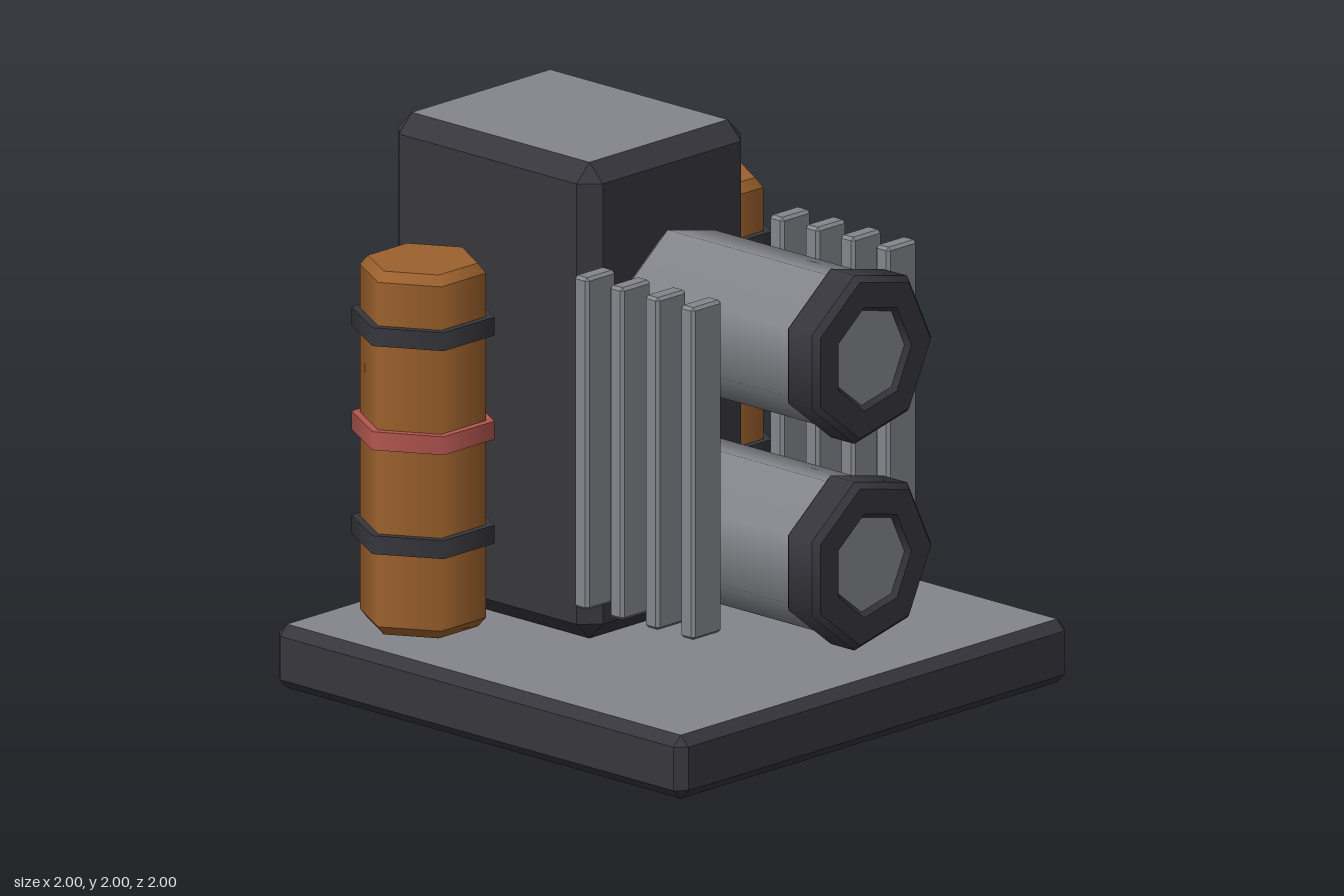
import * as THREE from 'three';
import { mergeGeometries } from 'three/addons/utils/BufferGeometryUtils.js';
import { ConvexGeometry } from 'three/addons/geometries/ConvexGeometry.js';

function material(name, color) {
  const m = new THREE.MeshStandardMaterial({ color });
  m.name = name;
  return m;
}

// Box with every edge chamfered by c; top and bottom faces may use a second material
function chamferBox(name, size, centre, c, sideMat, capMat) {
  const [a, b, d] = size.map((s) => s / 2);
  const points = [];
  for (const x of [-1, 1]) for (const y of [-1, 1]) for (const z of [-1, 1]) {
    points.push(
      new THREE.Vector3(x * a, y * (b - c), z * (d - c)),
      new THREE.Vector3(x * (a - c), y * b, z * (d - c)),
      new THREE.Vector3(x * (a - c), y * (b - c), z * d),
    );
  }
  const geo = new ConvexGeometry(points);
  const normal = geo.attributes.normal;
  for (let i = 0; i < normal.count; i += 3) {
    geo.addGroup(i, 3, Math.abs(normal.getY(i)) > 0.99 ? 1 : 0);
  }
  const mesh = new THREE.Mesh(geo, [sideMat, capMat]);
  mesh.name = name;
  mesh.position.set(...centre);
  return mesh;
}

// Turned solid: smooth around the axis, sharp at each step of the [radius, height] profile
function turned(profile, sides) {
  const strips = [];
  for (let i = 0; i < profile.length - 1; i++) {
    const pair = [profile[i], profile[i + 1]].map((p) => new THREE.Vector2(...p));
    strips.push(new THREE.LatheGeometry(pair, sides, Math.PI / 2));
  }
  return mergeGeometries(strips);
}

function add(parent, name, geo, mat) {
  const mesh = new THREE.Mesh(geo, mat);
  mesh.name = name;
  parent.add(mesh);
  return mesh;
}

export function createModel() {
  const dark = material('dark casing', 0x37363d);
  const grey = material('grey metal', 0x85868c);
  const copper = material('copper', 0x9c612d);
  const red = material('red band', 0xb3564f);

  const model = new THREE.Group();
  model.name = 'twinBarrelMachine';

  // Base slab and main tower
  model.add(chamferBox('base', [2, 0.235, 2], [0, 0.1175, 0], 0.037, dark, grey));
  model.add(chamferBox('tower', [0.84, 1.762, 1], [0, 1.119, -0.5], 0.066, dark, grey));

  // Two seven-sided barrels pointing forward
  const barrelGeo = turned([[0, 0], [0.25, 0], [0.29, 0.04], [0.29, 0.85], [0, 0.85]], 7);
  const collarGeo = turned([
    [0.27, 0.83], [0.305, 0.83], [0.32, 0.845], [0.32, 0.96],
    [0.297, 0.983], [0.197, 0.983], [0.18, 0.965],
  ], 7);
  const lensGeo = turned([[0.18, 0.965], [0, 0.965]], 7);
  for (const g of [barrelGeo, collarGeo, lensGeo]) g.rotateX(Math.PI / 2);
  for (const y of [0.66, 1.425]) {
    const barrel = new THREE.Group();
    barrel.name = 'barrel';
    barrel.position.y = y;
    add(barrel, 'barrelBody', barrelGeo, grey);
    add(barrel, 'barrelCollar', collarGeo, dark);
    add(barrel, 'barrelLens', lensGeo, grey);
    model.add(barrel);
  }

  // Hexagonal copper columns with bands, and cooling fins, on both sides
  const columnGeo = turned([
    [0, 0.275], [0.2, 0.275], [0.23, 0.31], [0.23, 1.585], [0.2, 1.62], [0, 1.62],
  ], 6);
  const bandGeo = turned([
    [0.22, -0.034], [0.26, -0.034], [0.26, 0.034], [0.22, 0.034],
  ], 6);
  for (const side of [-1, 1]) {
    const column = new THREE.Group();
    column.name = 'column';
    column.position.set(side * 0.71, 0, -0.54);
    add(column, 'columnBody', columnGeo, copper);
    for (const [y, mat] of [[0.62, dark], [1.005, red], [1.39, dark]]) {
      add(column, 'columnBand', bandGeo, mat).position.y = y;
    }
    model.add(column);

    for (let i = 0; i < 4; i++) {
      model.add(chamferBox('coolingFin', [0.15, 1.23, 0.068],
        [side * 0.5, 1.045, 0.1 + i * 0.173], 0.011, grey, grey));
    }
  }
  return model;
}
